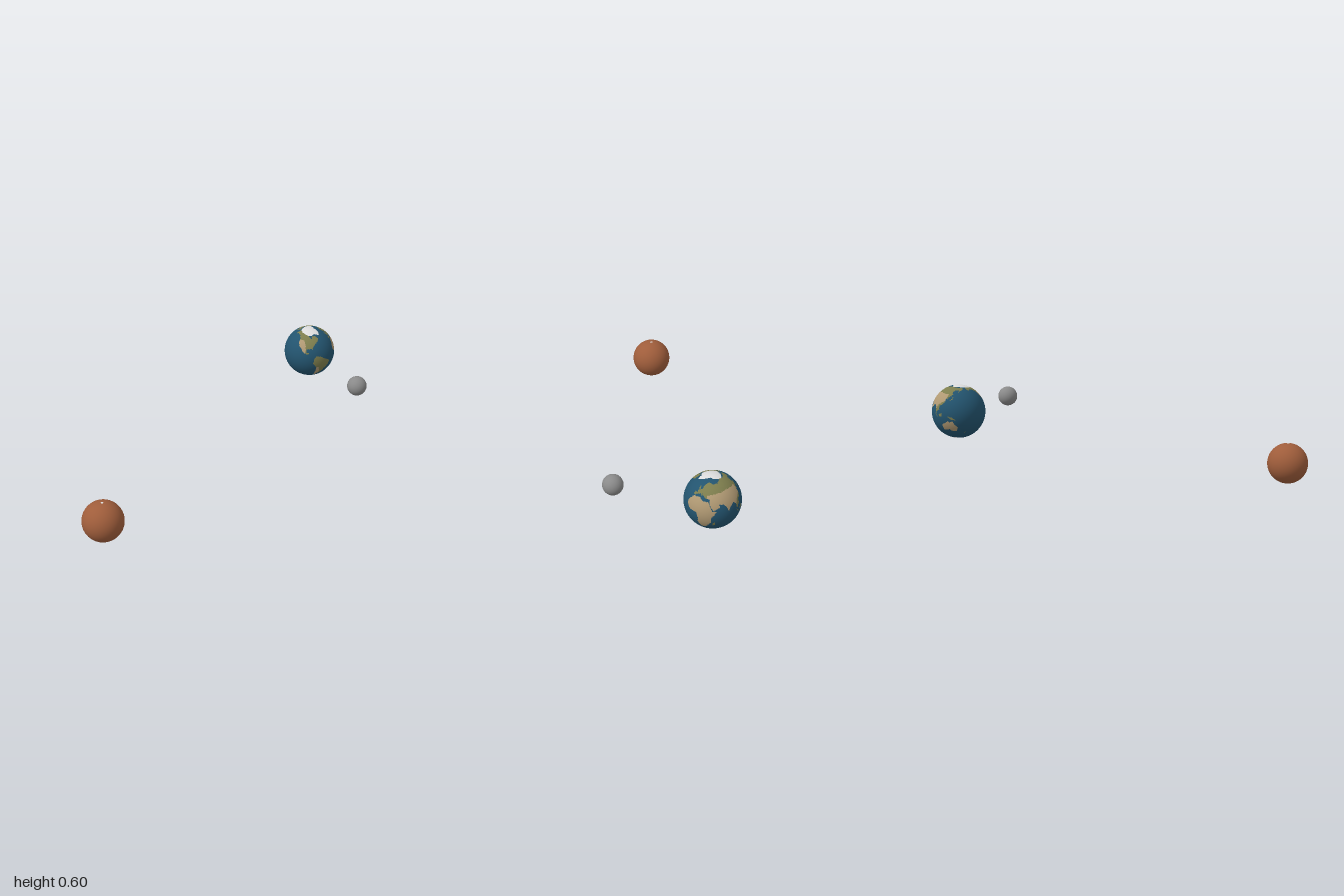
import * as THREE from 'three';

const mat = (name, color) => Object.assign(new THREE.MeshStandardMaterial({ color }), { name });

// Outlines are [longitude, latitude] pairs in degrees
const EURASIA = [[-9, 37], [-9, 43], [-1, 44], [-4, 48], [8, 54], [6, 59], [14, 68], [27, 71], [42, 67], [68, 69],
  [80, 73], [105, 77], [130, 72], [160, 70], [180, 68], [178, 63], [162, 58], [156, 52], [159, 61], [142, 59],
  [136, 54], [140, 48], [128, 40], [126, 35], [121, 39], [122, 31], [116, 23], [108, 20], [109, 12], [104, 10],
  [102, 3], [99, 8], [97, 17], [91, 22], [80, 14], [77, 8], [73, 18], [67, 25], [57, 26], [59, 21], [45, 13],
  [36, 27], [36, 36], [27, 37], [22, 38], [14, 45], [16, 39], [9, 44], [0, 40], [-5, 36]];
const AFRICA = [[-6, 35], [10, 37], [20, 31], [33, 31], [43, 12], [51, 11], [40, -4], [40, -15], [35, -21], [32, -28],
  [25, -34], [18, -34], [12, -18], [13, -7], [9, 4], [-7, 5], [-17, 14], [-16, 22]];
const NORTH_AMERICA = [[-166, 66], [-156, 71], [-125, 70], [-95, 70], [-94, 59], [-82, 53], [-78, 62], [-65, 59],
  [-56, 52], [-65, 45], [-75, 38], [-81, 31], [-80, 26], [-84, 30], [-97, 28], [-97, 20], [-90, 20], [-93, 16],
  [-105, 20], [-112, 29], [-118, 33], [-124, 42], [-125, 50], [-135, 58], [-152, 60], [-162, 56]];
const SOUTH_AMERICA = [[-77, 8], [-72, 12], [-60, 9], [-50, 2], [-35, -6], [-39, -15], [-48, -26], [-57, -36],
  [-65, -43], [-69, -52], [-74, -50], [-72, -30], [-71, -18], [-80, -6]];
const AUSTRALIA = [[114, -22], [122, -17], [131, -12], [136, -15], [142, -11], [146, -19], [153, -27], [149, -37],
  [140, -37], [131, -32], [116, -35]];
const ISLANDS = [
  [[96, 5], [104, -2], [105, -6], [100, -1]], [[109, 1], [117, 6], [116, -3], [110, -3]],
  [[131, -2], [141, -3], [150, -10], [139, -8]], [[44, -17], [49, -13], [48, -24], [44, -24]],
  [[131, 32], [140, 36], [142, 44], [138, 37]], [[-5, 50], [1, 52], [-3, 58], [-6, 57]],
  [[173, -41], [178, -38], [171, -45], [167, -46]]];
const LAND = [EURASIA, AFRICA, NORTH_AMERICA, SOUTH_AMERICA, AUSTRALIA, ...ISLANDS];
const DRY = [AFRICA, AUSTRALIA,
  [[28, 5], [28, 43], [50, 47], [85, 51], [125, 48], [122, 32], [104, 23], [94, 5]],       // southern Eurasia
  [[-123, 49], [-108, 48], [-101, 38], [-99, 27], [-99, 15], [-112, 15], [-126, 38]],      // western North America
  [[-75, -17], [-66, -17], [-61, -30], [-62, -45], [-66, -56], [-78, -56]]];               // southern South America
const ICE = [
  [[-180, 72], [-155, 68], [-125, 66], [-100, 62], [-80, 62], [-65, 66], [-45, 60], [-30, 68], [-18, 75], [0, 82],
    [60, 80], [120, 74], [150, 74], [180, 72], [180, 91], [-180, 91]],
  [[-180, -77], [-150, -76], [-100, -73], [-62, -66], [-55, -75], [-20, -73], [40, -69], [90, -67], [140, -67],
    [170, -73], [180, -77], [180, -91], [-180, -91]]];

function inside(poly, x, y) {
  let hit = false;
  for (let i = 0, j = poly.length - 1; i < poly.length; j = i++) {
    const [xi, yi] = poly[i], [xj, yj] = poly[j];
    if ((yi > y) !== (yj > y) && x < (xj - xi) * (y - yi) / (yj - yi) + xi) hit = !hit;
  }
  return hit;
}

// Sphere whose faces are sorted into material groups by longitude and latitude
function globe(name, radius, wide, high, materials, pick) {
  const geo = new THREE.SphereGeometry(radius, wide, high);
  const uv = geo.attributes.uv, idx = geo.index.array;
  const buckets = materials.map(() => []);
  for (let i = 0; i < idx.length; i += 3) {
    const f = [idx[i], idx[i + 1], idx[i + 2]];
    const u = f.reduce((s, k) => s + uv.getX(k), 0) / 3;
    const v = f.reduce((s, k) => s + uv.getY(k), 0) / 3;
    buckets[pick((u - 0.5) * 360, (v - 0.5) * 180)].push(...f);
  }
  geo.setIndex(buckets.flat());
  let start = 0;
  buckets.forEach((b, m) => { geo.addGroup(start, b.length, m); start += b.length; });
  const mesh = new THREE.Mesh(geo, materials);
  mesh.name = name;
  return mesh;
}

export function createModel() {
  const group = new THREE.Group();
  const ocean = mat('ocean blue', 0x23546f), forest = mat('forest olive', 0x7d7d4d);
  const desert = mat('desert tan', 0xb09973), ice = mat('ice white', 0xdcdcdc);
  const rust = mat('rust', 0x9f5d3b), rock = mat('rock grey', 0x8a8a8a);

  // Blue planet with continents and polar ice
  const any = (list, x, y) => list.some(p => inside(p, x, y));
  const blue = globe('bluePlanet', 0.168, 216, 108, [ocean, forest, desert, ice], (x, y) => {
    if (any(ICE, x, y)) return 3;
    if (!any(LAND, x, y)) return 0;
    return any(DRY, x, y) ? 2 : 1;
  });
  blue.position.set(0.457, 0.43, -0.832);

  // Red planet with a tiny northern cap
  const red = globe('redPlanet', 0.127, 64, 48, [rust, ice], (x, y) => (y > 85.5 ? 1 : 0));
  red.position.set(-0.716, 0.127, 0.873);

  // Moon
  const moon = new THREE.Mesh(new THREE.SphereGeometry(0.063, 48, 32), rock);
  moon.name = 'moon';
  moon.position.set(0.773, 0.435, -0.332);

  group.add(blue, red, moon);
  return group;
}
